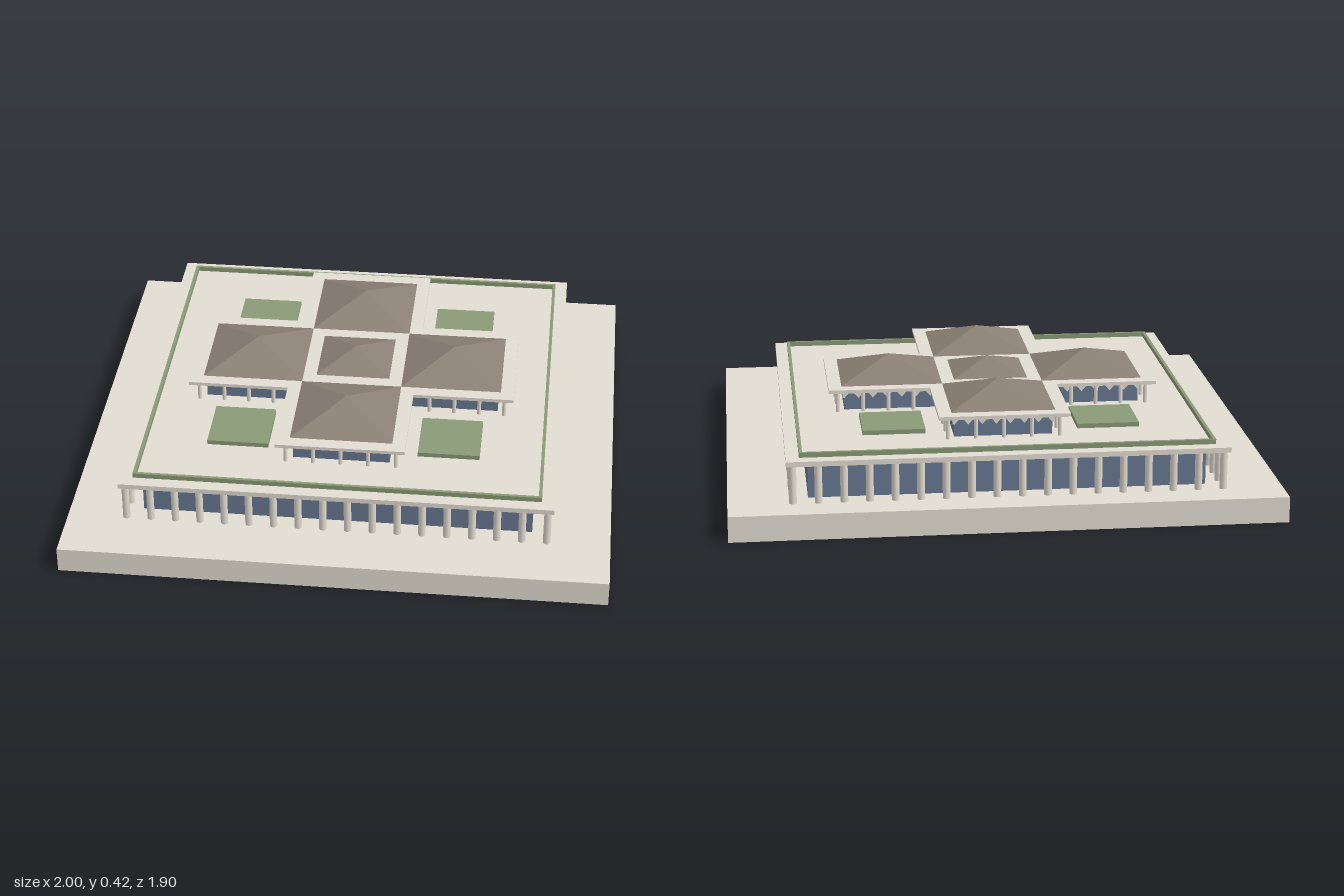
import * as THREE from 'three';

const mat = (name, color, extra = {}) => {
  const m = new THREE.MeshStandardMaterial({ color, ...extra });
  m.name = name;
  return m;
};

export function createModel() {
  const stone = mat('stone', 0xe3ddd2);
  const openStone = mat('plinth stone', 0xe3ddd2, { side: THREE.DoubleSide });
  const glass = mat('blue glass', 0x687a92);
  const roofMat = mat('roof brown', 0x8a7f74, { flatShading: true });
  const green = mat('planting green', 0x8a9b77);

  const model = new THREE.Group();
  model.name = 'pavilion';
  const add = (parent, name, geo, material, x = 0, y = 0, z = 0) => {
    const mesh = new THREE.Mesh(geo, material);
    mesh.name = name;
    mesh.position.set(x, y, z);
    parent.add(mesh);
    return mesh;
  };
  const box = (parent, name, w, y0, y1, d, material, x = 0, z = 0) =>
    add(parent, name, new THREE.BoxGeometry(w, y1 - y0, d), material, x, (y0 + y1) / 2, z);
  // flat shape on the ground plane, extruded upward from y0 to y1
  const slab = (parent, name, shape, y0, y1, material) => {
    const geo = new THREE.ExtrudeGeometry(shape, { depth: y1 - y0, bevelEnabled: false });
    geo.rotateX(-Math.PI / 2);
    return add(parent, name, geo, material, 0, y0, 0);
  };
  const square = (h, Type = THREE.Shape) =>
    new Type([[-h, -h], [h, -h], [h, h], [-h, h]].map(([x, y]) => new THREE.Vector2(x, y)));

  // plinth: a hollow box, open underneath
  const plinthY = 0.095;
  const plinthGeo = new THREE.BoxGeometry(2, plinthY, 1.9);
  const sides = Array.from(plinthGeo.index.array);
  sides.splice(18, 6);
  plinthGeo.setIndex(sides);
  plinthGeo.clearGroups();
  add(model, 'plinth', plinthGeo, openStone, 0, plinthY / 2, 0);

  const building = new THREE.Group();
  building.name = 'building';
  building.position.set(-0.007, 0, -0.05);
  model.add(building);

  // lower storey: glass hall, roof slab and hedge border
  const roofY0 = 0.236, roofY1 = 0.255;
  box(building, 'lowerGlassHall', 1.44, plinthY, roofY0, 1.44, glass);
  box(building, 'lowerRoofSlab', 1.595, roofY0, roofY1, 1.595, stone);
  const hedge = square(0.75);
  hedge.holes.push(square(0.738, THREE.Path));
  slab(building, 'hedgeBorder', hedge, roofY1, 0.273, green);

  // planting beds in the four corners of the terrace
  for (const x of [-0.395, 0.395])
    for (const z of [-0.395, 0.395])
      box(building, 'plantingBed', 0.23, roofY1, 0.272, 0.23, green, x, z);

  // upper storey: cross-shaped glass walls and slab
  const cross = (l, w) => new THREE.Shape([
    [-w, -l], [w, -l], [w, -w], [l, -w], [l, w], [w, w],
    [w, l], [-w, l], [-w, w], [-l, w], [-l, -w], [-w, -w],
  ].map(([x, y]) => new THREE.Vector2(x, y)));
  const topY0 = 0.335, topY1 = 0.348;
  slab(building, 'upperGlassWalls', cross(0.56, 0.18), roofY1, topY0, glass);
  slab(building, 'upperRoofSlab', cross(0.62, 0.24), topY0, topY1, stone);

  // pyramid roofs: four on the arms, a smaller one in the middle
  const pyramid = (name, half, h, x, z) => {
    const geo = new THREE.ConeGeometry(half * Math.SQRT2, h, 4);
    geo.rotateY(Math.PI / 4);
    add(building, name, geo, roofMat, x, topY1 + h / 2, z);
  };
  for (const [x, z] of [[0.38, 0], [-0.38, 0], [0, 0.38], [0, -0.38]])
    pyramid('armRoof', 0.19, 0.072, x, z);
  pyramid('centreRoof', 0.14, 0.053, 0, 0);

  // thin plate whose lower edge forms a row of pointed arches, facing +z
  const arcade = (width, bays) => {
    const step = width / bays, s = new THREE.Shape();
    s.moveTo(-width / 2, topY0);
    for (let i = 0; i < bays; i++) {
      const x = -width / 2 + i * step;
      s.lineTo(x, 0.3);
      s.lineTo(x + step / 2, 0.331);
    }
    s.lineTo(width / 2, 0.3);
    s.lineTo(width / 2, topY0);
    return new THREE.ExtrudeGeometry(s, { depth: 0.006, bevelEnabled: false });
  };

  const lowerColumn = new THREE.CylinderGeometry(0.0138, 0.0138, roofY0 - plinthY, 12);
  const upperColumn = new THREE.CylinderGeometry(0.0075, 0.0075, topY0 - roofY1, 10);
  const endArcade = arcade(0.36, 7), sideArcade = arcade(0.38, 7);

  // one front quarter of colonnades and arcades, turned to all four sides
  const quarter = new THREE.Group();
  quarter.name = 'facade';
  const c = 0.775, lowerGaps = 17;
  for (let i = 0; i < lowerGaps; i++)
    add(quarter, 'lowerColumn', lowerColumn, stone,
      -c + (2 * c * i) / lowerGaps, (plinthY + roofY0) / 2, c);

  const len = 0.585, wid = 0.205, gaps = 4;
  const post = (x, z) => add(quarter, 'upperColumn', upperColumn, stone, x, (roofY1 + topY0) / 2, z);
  for (let i = 0; i <= gaps; i++) post(-wid + (2 * wid * i) / gaps, len);
  for (let i = 0; i < gaps; i++) {
    const z = wid + ((len - wid) * i) / gaps;
    post(wid, z);
    if (i > 0) post(-wid, z);
  }
  add(quarter, 'endArcade', endArcade, stone, 0, 0, 0.56);
  for (const s of [-1, 1])
    add(quarter, 'sideArcade', sideArcade, stone, s * 0.18, 0, 0.37).rotation.y = s * Math.PI / 2;

  for (let i = 0; i < 4; i++) {
    const facade = quarter.clone();
    facade.rotation.y = (i * Math.PI) / 2;
    building.add(facade);
  }
  return model;
}
